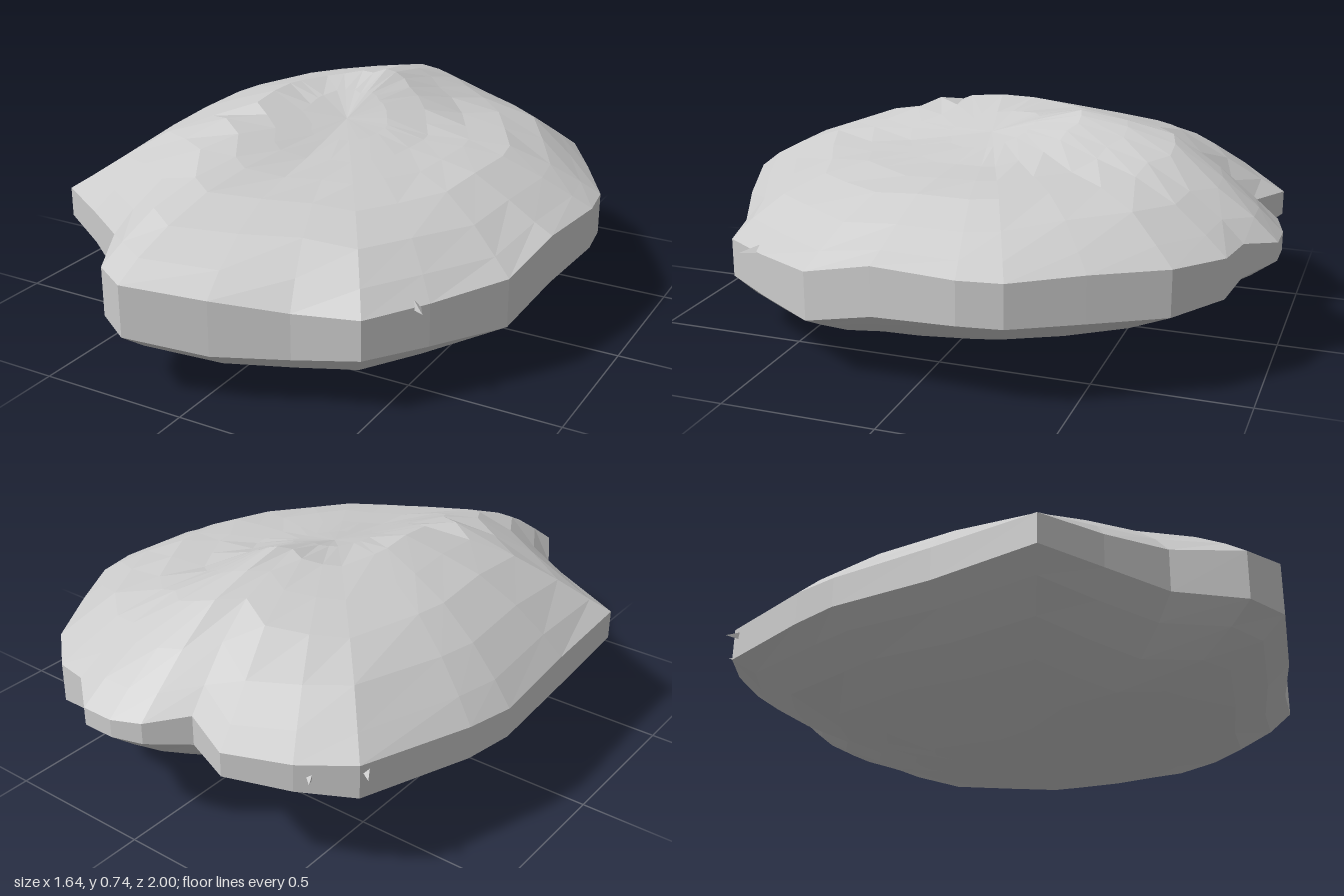
import * as THREE from 'three';

// Rim seen from above, clockwise from the back: x, z, upper edge y, lower edge y
const RIM = [
  [0.17, -1.0, 0.42, 0.36], [0.28, -0.91, 0.44, 0.33], [0.4, -0.88, 0.43, 0.3], [0.55, -0.75, 0.43, 0.28],
  [0.68, -0.53, 0.43, 0.28], [0.8, -0.32, 0.42, 0.28], [0.82, -0.18, 0.42, 0.28], [0.79, 0.1, 0.42, 0.26],
  [0.75, 0.34, 0.36, 0.2], [0.6, 0.57, 0.34, 0.2], [0.47, 0.75, 0.33, 0.2], [0.27, 0.81, 0.33, 0.18],
  [0.05, 0.91, 0.36, 0.18], [-0.2, 1.0, 0.39, 0.22], [-0.31, 0.94, 0.4, 0.24], [-0.42, 0.74, 0.41, 0.27],
  [-0.6, 0.62, 0.41, 0.3], [-0.79, 0.51, 0.42, 0.32], [-0.8, 0.15, 0.41, 0.3], [-0.82, -0.2, 0.4, 0.3],
  [-0.79, -0.37, 0.41, 0.3], [-0.67, -0.75, 0.43, 0.32], [-0.52, -0.86, 0.43, 0.34], [-0.33, -0.95, 0.44, 0.36],
  [-0.15, -0.87, 0.45, 0.35], [-0.04, -0.97, 0.43, 0.36], [0.06, -1.0, 0.42, 0.36],
];

// Coarse height grids: rows run z -0.9..0.9, columns x -0.75..0.75
const TOP = [
  [0.46, 0.52, 0.52, 0.57, 0.56, 0.47, 0.42],
  [0.52, 0.61, 0.66, 0.71, 0.62, 0.57, 0.47],
  [0.54, 0.64, 0.70, 0.75, 0.61, 0.59, 0.50],
  [0.55, 0.66, 0.73, 0.65, 0.60, 0.58, 0.49],
  [0.53, 0.63, 0.70, 0.60, 0.58, 0.54, 0.44],
  [0.48, 0.56, 0.61, 0.57, 0.54, 0.47, 0.40],
  [0.42, 0.46, 0.52, 0.49, 0.45, 0.41, 0.37],
];
const BOTTOM = [
  [0.30, 0.28, 0.24, 0.22, 0.24, 0.27, 0.30],
  [0.24, 0.18, 0.15, 0.14, 0.15, 0.17, 0.24],
  [0.19, 0.12, 0.06, 0.08, 0.10, 0.12, 0.20],
  [0.18, 0.10, 0.00, 0.04, 0.07, 0.09, 0.18],
  [0.18, 0.11, 0.04, 0.04, 0.05, 0.07, 0.15],
  [0.22, 0.14, 0.07, 0.04, 0.04, 0.06, 0.16],
  [0.27, 0.20, 0.11, 0.07, 0.07, 0.10, 0.18],
];

function sample(grid, x, z) {
  const u = THREE.MathUtils.clamp((x + 0.75) / 0.25, 0, 5.999);
  const v = THREE.MathUtils.clamp((z + 0.9) / 0.3, 0, 5.999);
  const i = Math.floor(u), j = Math.floor(v);
  const row = (r) => THREE.MathUtils.lerp(r[i], r[i + 1], u - i);
  return THREE.MathUtils.lerp(row(grid[j]), row(grid[j + 1]), v - j);
}

// One ring at fraction f of the rim; heights fall steeply to the rim edge
function ring(f, grid, edge) {
  return RIM.map((p) => {
    const x = p[0] * f, z = p[1] * f;
    const y = THREE.MathUtils.lerp(sample(grid, x, z), p[edge], f ** 8);
    return [x, y, z];
  });
}

function stoneGeometry() {
  const steps = [0, 0.16, 0.32, 0.48, 0.64, 0.8, 0.92, 1];
  const rings = [
    ...steps.map((f) => ring(f, TOP, 2)),
    ...steps.slice().reverse().map((f) => ring(f, BOTTOM, 3)),
  ];
  const n = RIM.length;
  const positions = rings.flat(2);
  const index = [];
  for (let r = 0; r < rings.length - 1; r++) {
    for (let i = 0; i < n; i++) {
      const a = r * n + i, b = r * n + (i + 1) % n, c = a + n, d = b + n;
      if (r < rings.length - 2) index.push(a, d, c);
      if (r > 0) index.push(a, b, d);
    }
  }
  const g = new THREE.BufferGeometry();
  g.setAttribute('position', new THREE.Float32BufferAttribute(positions, 3));
  g.setIndex(index);
  g.computeBoundingBox();
  g.translate(0, -g.boundingBox.min.y, 0);
  g.computeVertexNormals();
  return g;
}

export function createModel() {
  const group = new THREE.Group();
  group.name = 'rock';
  const material = new THREE.MeshStandardMaterial({ color: 0xcccccc, flatShading: true, side: THREE.DoubleSide });

  const stone = new THREE.Mesh(stoneGeometry(), material);
  stone.name = 'stone';
  group.add(stone);

  // Small splinters sticking out of the rim: x, y, z, length
  const splinters = [
    [0.57, 0.33, 0.6, 0.12], [0.7, 0.37, 0.19, 0.1],
    [-0.55, 0.38, -0.82, 0.1], [-0.67, 0.39, -0.72, 0.1],
  ];
  for (const [x, y, z, length] of splinters) {
    const splinter = new THREE.Mesh(new THREE.ConeGeometry(0.03, length, 3), material);
    splinter.name = 'splinter';
    splinter.position.set(x, y, z);
    splinter.quaternion.setFromUnitVectors(new THREE.Vector3(0, 1, 0), new THREE.Vector3(x, 0, z).normalize());
    group.add(splinter);
  }
  return group;
}
